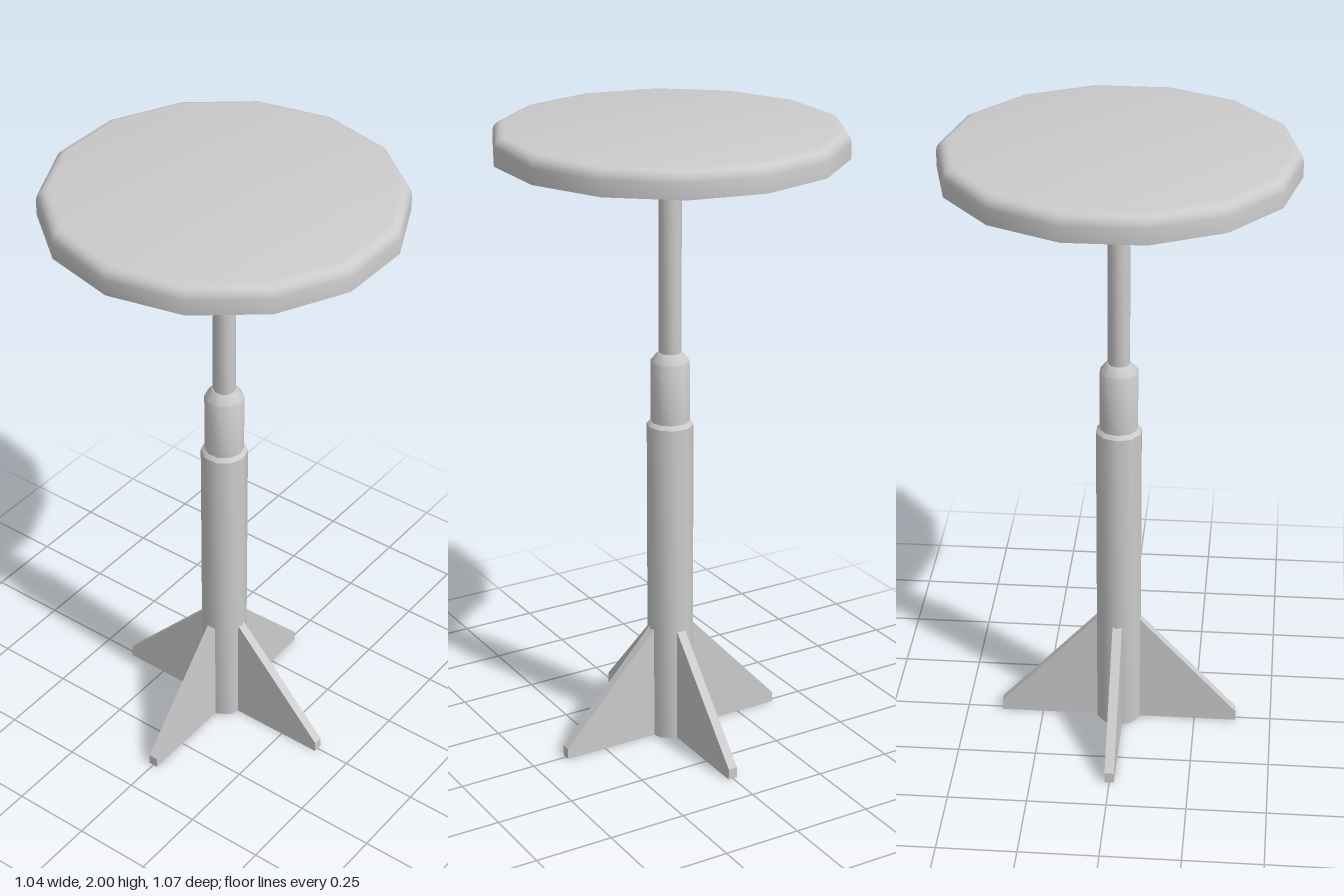
import * as THREE from 'three';
import { toCreasedNormals } from 'three/addons/utils/BufferGeometryUtils.js';

const material = new THREE.MeshStandardMaterial({ color: 0xcccccc });

function addPart(parent, name, geometry) {
  const mesh = new THREE.Mesh(toCreasedNormals(geometry, 0.7), material);
  mesh.name = name;
  parent.add(mesh);
  return mesh;
}

// Turned part from [radius, height] pairs, listed bottom to top
function turned(points, sides, startAngle = 0) {
  return new THREE.LatheGeometry(points.map(([r, y]) => new THREE.Vector2(r, y)), sides, startAngle);
}

export function createModel() {
  const model = new THREE.Group();
  model.name = 'stool';

  // Fourteen-sided seat with a rounded upper rim
  const rim = 0.035;
  const seat = [[0, 1.917], [0.535, 1.917]];
  for (let i = 0; i <= 4; i++) {
    const a = (i / 4) * Math.PI / 2;
    seat.push([0.535 - rim + rim * Math.cos(a), 2 - rim + rim * Math.sin(a)]);
  }
  seat.push([0, 2]);
  addPart(model, 'seat', turned(seat, 14));

  // Telescoping column: outer tube, collar and rod
  const quarter = Math.PI / 2;
  addPart(model, 'outerTube',
    turned([[0, 0], [0.073, 0], [0.073, 1.062], [0.061, 1.074], [0, 1.074]], 10, quarter));
  addPart(model, 'collar',
    turned([[0, 1.06], [0.061, 1.06], [0.061, 1.268], [0.038, 1.296], [0, 1.296]], 10, quarter));
  addPart(model, 'rod', turned([[0, 1.28], [0.035, 1.28], [0.035, 1.925], [0, 1.925]], 10, quarter));

  // Four triangular fins as feet
  const thickness = 0.03;
  const fin = new THREE.Shape();
  fin.moveTo(0.05, 0);
  fin.lineTo(0.385, 0);
  fin.lineTo(0.385, 0.035);
  fin.lineTo(0.07, 0.377);
  fin.lineTo(0.05, 0.377);
  fin.closePath();
  const finGeometry = new THREE.ExtrudeGeometry(fin, { depth: thickness, bevelEnabled: false });
  finGeometry.translate(0, 0, -thickness / 2);
  for (let i = 0; i < 4; i++) {
    addPart(model, 'footFin', finGeometry).rotation.y = i * quarter;
  }

  return model;
}
